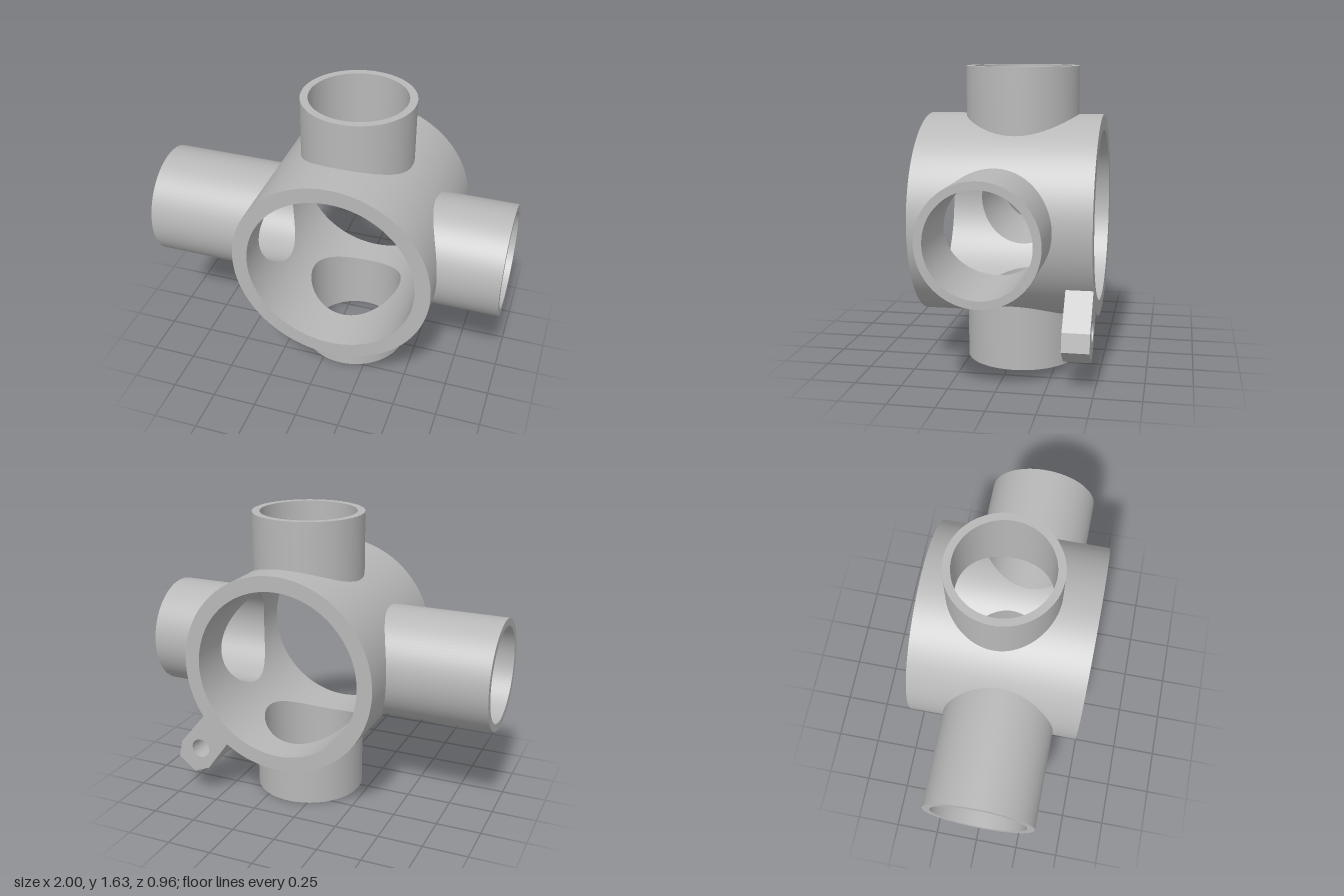
import * as THREE from 'three';

const R_OUT = 0.555, R_IN = 0.47, HALF = 0.48;   // drum
const P_OUT = 0.31, P_IN = 0.268;                // branch pipes
const CX = 0.11, CY = 0.818;                     // drum axis
const SEG = 96;

// Grid surface from f(u, v) -> { p, n }; winding follows the given normals
function grid(f, nu, nv) {
  const pos = [], nor = [], idx = [], pts = [], nrm = [];
  for (let j = 0; j <= nv; j++) for (let i = 0; i <= nu; i++) {
    const { p, n } = f(i / nu, j / nv);
    pos.push(...p); nor.push(...n);
    pts.push(new THREE.Vector3(...p)); nrm.push(new THREE.Vector3(...n));
  }
  const tri = (a, b, c) => {
    const e = pts[b].clone().sub(pts[a]).cross(pts[c].clone().sub(pts[a]));
    const m = nrm[a].clone().add(nrm[b]).add(nrm[c]);
    if (e.dot(m) >= 0) idx.push(a, b, c); else idx.push(a, c, b);
  };
  for (let j = 0; j < nv; j++) for (let i = 0; i < nu; i++) {
    const a = j * (nu + 1) + i, b = a + 1, c = a + nu + 1, d = c + 1;
    tri(a, b, d); tri(a, d, c);
  }
  const g = new THREE.BufferGeometry();
  g.setAttribute('position', new THREE.Float32BufferAttribute(pos, 3));
  g.setAttribute('normal', new THREE.Float32BufferAttribute(nor, 3));
  g.setIndex(idx);
  return g;
}

// Evenly stepped point on the edge of the square [-1, 1]
function squareEdge(phi) {
  const c = Math.cos(phi), s = Math.sin(phi), q = 4 / Math.PI;
  return Math.abs(c) >= Math.abs(s)
    ? [Math.sign(c), Math.atan(s / Math.abs(c)) * q]
    : [Math.atan(c / Math.abs(s)) * q, Math.sign(s)];
}

// Quarter of the drum wall with a round pipe opening; side is 1 outside, -1 inside
function wallQuarter(R, r, zc, side) {
  return grid((u, v) => {
    const phi = u * Math.PI * 2, [ex, ez] = squareEdge(phi);
    const th = THREE.MathUtils.lerp(Math.asin(r * Math.cos(phi) / R), ex * Math.PI / 4, v);
    const z = THREE.MathUtils.lerp(zc + r * Math.sin(phi), ez * HALF, v);
    const s = Math.sin(th), c = Math.cos(th);
    return { p: [R * s, R * c, z], n: [side * s, side * c, 0] };
  }, SEG, 8);
}

// Flat end face of one drum quarter
function endQuarter(side) {
  return grid((u, v) => {
    const th = (u - 0.5) * Math.PI / 2, r = THREE.MathUtils.lerp(R_IN, R_OUT, v);
    return { p: [r * Math.sin(th), r * Math.cos(th), side * HALF], n: [0, 0, side] };
  }, SEG / 4, 1);
}

// Pipe skin from its saddle on the drum to its open end
function pipeSkin(R, r, zc, len, side) {
  return grid((u, v) => {
    const phi = u * Math.PI * 2, c = Math.cos(phi), s = Math.sin(phi);
    const h = THREE.MathUtils.lerp(Math.sqrt(R * R - r * r * c * c), len, v);
    return { p: [r * c, h, zc + r * s], n: [side * c, 0, side * s] };
  }, SEG, 1);
}

function pipeRim(zc, len) {
  return grid((u, v) => {
    const phi = u * Math.PI * 2, r = THREE.MathUtils.lerp(P_IN, P_OUT, v);
    return { p: [r * Math.cos(phi), len, zc + r * Math.sin(phi)], n: [0, 1, 0] };
  }, SEG, 1);
}

export function createModel() {
  const root = new THREE.Group();
  root.name = 'pipeJunction';
  const grey = new THREE.MeshStandardMaterial({ color: 0xb8b8b8 });
  grey.name = 'plain grey';

  const body = new THREE.Group();
  body.name = 'body';
  body.position.set(CX, CY, 0);
  root.add(body);

  // Four branches, each with its quarter of the drum
  const branches = [
    ['top', 0, -0.035, 1.635 - CY],
    ['right', Math.PI / 2, 0.035, 1 + CX],
    ['bottom', Math.PI, -0.035, CY],
    ['left', -Math.PI / 2, 0.035, 1 - CX],
  ];
  for (const [name, angle, zc, len] of branches) {
    const branch = new THREE.Group();
    branch.name = name + 'Branch';
    branch.rotation.z = angle;
    const parts = {
      DrumOuterWall: wallQuarter(R_OUT, P_OUT, zc, 1),
      DrumInnerWall: wallQuarter(R_IN, P_IN, zc, -1),
      DrumFrontFace: endQuarter(1),
      DrumBackFace: endQuarter(-1),
      PipeOuter: pipeSkin(R_OUT, P_OUT, zc, len, 1),
      PipeBore: pipeSkin(R_IN, P_IN, zc, len, -1),
      PipeRim: pipeRim(zc, len),
    };
    for (const [part, geometry] of Object.entries(parts)) {
      const mesh = new THREE.Mesh(geometry, grey);
      mesh.name = name + part;
      branch.add(mesh);
    }
    body.add(branch);
  }

  // Mounting lug, seated on the drum at the back
  const lug = new THREE.Shape();
  const a0 = -0.972, a1 = -0.597;
  lug.moveTo(R_OUT * Math.cos(a0), R_OUT * Math.sin(a0));
  for (const [x, y] of [[0.55, 0.185], [0.645, 0.147], [0.742, 0.228], [0.72, 0.325]]) lug.lineTo(x - CX, y - CY);
  lug.lineTo(R_OUT * Math.cos(a1), R_OUT * Math.sin(a1));
  lug.absarc(0, 0, R_OUT, a1, a0, true);
  const hole = new THREE.Path();
  hole.absarc(0.597 - CX, 0.3 - CY, 0.055, 0, Math.PI * 2, true);
  lug.holes.push(hole);
  const lugMesh = new THREE.Mesh(
    new THREE.ExtrudeGeometry(lug, { depth: 0.145, bevelEnabled: false, curveSegments: 24 }), grey);
  lugMesh.name = 'mountingLug';
  lugMesh.position.z = -HALF;
  body.add(lugMesh);

  return root;
}
